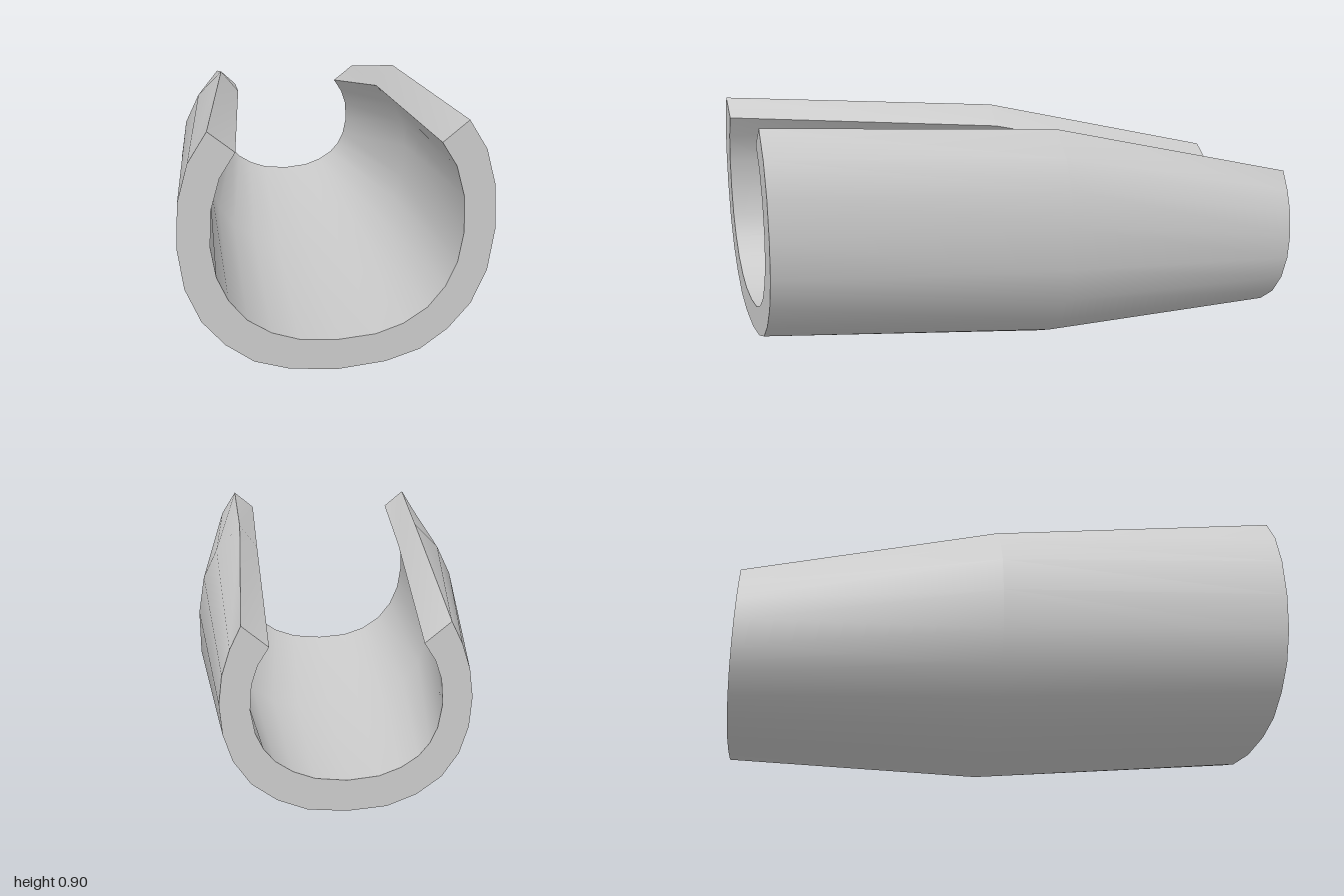
import * as THREE from 'three';

// Half profiles [offset from the section's centre line, height], bottom to rim
const sections = [
  { z: 1, cx: -0.043,
    outer: [[0, .085], [.157, .10], [.27, .135], [.36, .20], [.433, .285], [.482, .398], [.502, .535], [.495, .68], [.462, .80], [.402, .896]],
    inner: [[0, .19], [.123, .20], [.213, .23], [.29, .28], [.347, .35], [.383, .43], [.40, .53], [.395, .65], [.367, .75], [.318, .828]] },
  { z: -0.05, cx: 0.04,
    outer: [[0, 0], [.165, .015], [.29, .06], [.385, .13], [.455, .225], [.495, .35], [.50, .505], [.48, .64], [.43, .745], [.34, .835]],
    inner: [[0, .105], [.125, .115], [.22, .145], [.30, .20], [.36, .28], [.39, .37], [.40, .50], [.385, .60], [.345, .68], [.275, .755]] },
  { z: -1, cx: 0.095,
    outer: [[0, .025], [.125, .035], [.22, .07], [.30, .125], [.355, .20], [.385, .285], [.395, .38], [.385, .47], [.36, .55], [.325, .622]],
    inner: [[0, .125], [.10, .135], [.17, .16], [.225, .195], [.26, .235], [.285, .285], [.30, .36], [.295, .44], [.275, .50], [.24, .555]] },
];

// Mirrors a half profile into a full arc running from the -x rim to the +x rim
function arc(section, side) {
  const half = section[side];
  const point = (s) => ([dx, y]) => [section.cx + s * dx, y, section.z];
  return [...half.slice(1).reverse().map(point(-1)), ...half.map(point(1))];
}

// Surface through rows of points; flip turns it to face the other way
function loft(rows, flip = false) {
  const n = rows[0].length, index = [];
  for (let r = 0; r < rows.length - 1; r++) {
    for (let i = 0; i < n - 1; i++) {
      const a = r * n + i, b = a + 1, c = a + n, d = c + 1;
      if (flip) index.push(a, b, c, b, d, c);
      else index.push(a, c, b, b, c, d);
    }
  }
  const geometry = new THREE.BufferGeometry();
  geometry.setAttribute('position', new THREE.Float32BufferAttribute(rows.flat(2), 3));
  geometry.setIndex(index);
  geometry.computeVertexNormals();
  return geometry;
}

export function createModel() {
  const group = new THREE.Group();
  group.name = 'openSleeve';
  const grey = new THREE.MeshStandardMaterial({ color: 0xcccccc });
  grey.name = 'light grey';

  const add = (name, rows, flip) => {
    const mesh = new THREE.Mesh(loft(rows, flip), grey);
    mesh.name = name;
    group.add(mesh);
  };

  const outer = sections.map((s) => arc(s, 'outer'));
  const inner = sections.map((s) => arc(s, 'inner'));
  const last = outer[0].length - 1;

  // Smooth curved walls
  add('outerWall', outer);
  add('innerWall', inner, true);

  // Flat end faces
  add('frontEnd', [inner[0], outer[0]]);
  add('backEnd', [inner[2], outer[2]], true);

  // Rims along the open slot
  add('rightRim', outer.map((row, i) => [inner[i][0], row[0]]));
  add('leftRim', outer.map((row, i) => [row[last], inner[i][last]]));

  return group;
}
